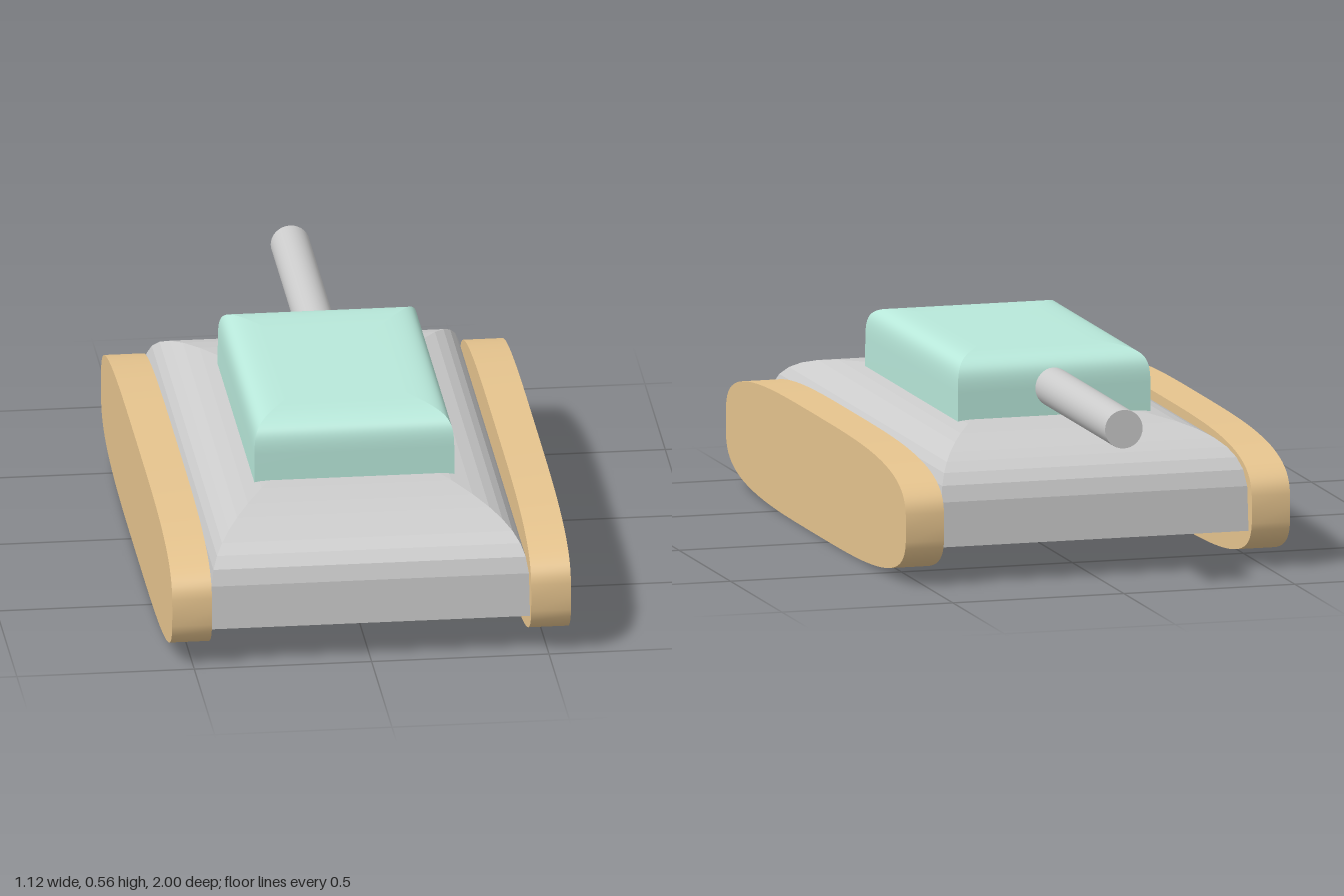
import * as THREE from 'three';
import { toCreasedNormals } from 'three/addons/utils/BufferGeometryUtils.js';

const grey = new THREE.MeshStandardMaterial({ color: 0xcccccc });
const greyShell = new THREE.MeshStandardMaterial({ color: 0xcccccc, side: THREE.DoubleSide, flatShading: true });
const teal = new THREE.MeshStandardMaterial({ color: 0xb8e8da });
const tan = new THREE.MeshStandardMaterial({ color: 0xe6c48e });

// Signed power, for points on a superellipse
const spow = (v, n) => Math.sign(v) * Math.pow(Math.abs(v), 2 / n);

function addMesh(group, name, geometry, material, x, y, z) {
  const mesh = new THREE.Mesh(geometry, material);
  mesh.name = name;
  mesh.position.set(x, y, z);
  group.add(mesh);
}

// Dome on a rectangle: four mitred sides, each curving up along a superellipse
function mitredDome(hx, hz, height, n, rows) {
  const corners = [[-1, 1], [1, 1], [1, -1], [-1, -1]];
  const positions = [];
  const index = [];
  for (let side = 0; side < 4; side++) {
    const ends = [corners[side], corners[(side + 1) % 4]];
    const base = positions.length / 3;
    for (let i = 0; i <= rows; i++) {
      const t = (i / rows) * Math.PI / 2;
      const inset = i === rows ? 0 : spow(Math.cos(t), n);
      const y = height * spow(Math.sin(t), n);
      for (const [sx, sz] of ends) positions.push(sx * hx * inset, y, sz * hz * inset);
      if (i === rows) break;
      const a = base + i * 2;
      index.push(a, a + 1, a + 3);
      if (i < rows - 1) index.push(a, a + 3, a + 2);
    }
  }
  const geometry = new THREE.BufferGeometry();
  geometry.setAttribute('position', new THREE.Float32BufferAttribute(positions, 3));
  geometry.setIndex(index);
  geometry.computeVertexNormals();
  return geometry;
}

// Flat-sided track with a superellipse outline, centred on its own origin
function trackGeometry(length, height, width, n) {
  const points = [];
  for (let i = 0; i < 80; i++) {
    const t = (i / 80) * Math.PI * 2;
    points.push(new THREE.Vector2(
      (length / 2) * spow(Math.cos(t), n),
      (height / 2) * spow(Math.sin(t), n)));
  }
  const geometry = new THREE.ExtrudeGeometry(new THREE.Shape(points), { depth: width, bevelEnabled: false });
  geometry.translate(0, 0, -width / 2);
  geometry.rotateY(Math.PI / 2);
  return toCreasedNormals(geometry, 0.7);
}

export function createModel() {
  const model = new THREE.Group();
  model.name = 'tank';

  // Hull: a faceted shell open underneath
  addMesh(model, 'hull', mitredDome(0.45, 0.843, 0.289, 4.5, 10), greyShell, 0, 0.105, 0.126);

  // Tracks on both sides
  const track = trackGeometry(1.75, 0.34, 0.112, 3.5);
  addMesh(model, 'leftTrack', track, tan, 0.506, 0.17, 0.125);
  addMesh(model, 'rightTrack', track, tan, -0.506, 0.17, 0.125);

  // Turret with its flat underside, sunk slightly into the hull
  const turret = new THREE.Group();
  turret.name = 'turret';
  turret.position.set(0, 0.335, 0.126);
  addMesh(turret, 'turretBody', mitredDome(0.282, 0.45, 0.229, 9, 18), teal, 0, 0, 0);
  const floor = new THREE.PlaneGeometry(0.564, 0.9);
  floor.rotateX(Math.PI / 2);
  addMesh(turret, 'turretFloor', floor, teal, 0, 0, 0);
  model.add(turret);

  // Gun barrel
  const barrel = new THREE.CylinderGeometry(0.055, 0.055, 0.685, 32);
  barrel.rotateX(Math.PI / 2);
  addMesh(model, 'barrel', barrel, grey, 0, 0.468, -0.6575);

  return model;
}
